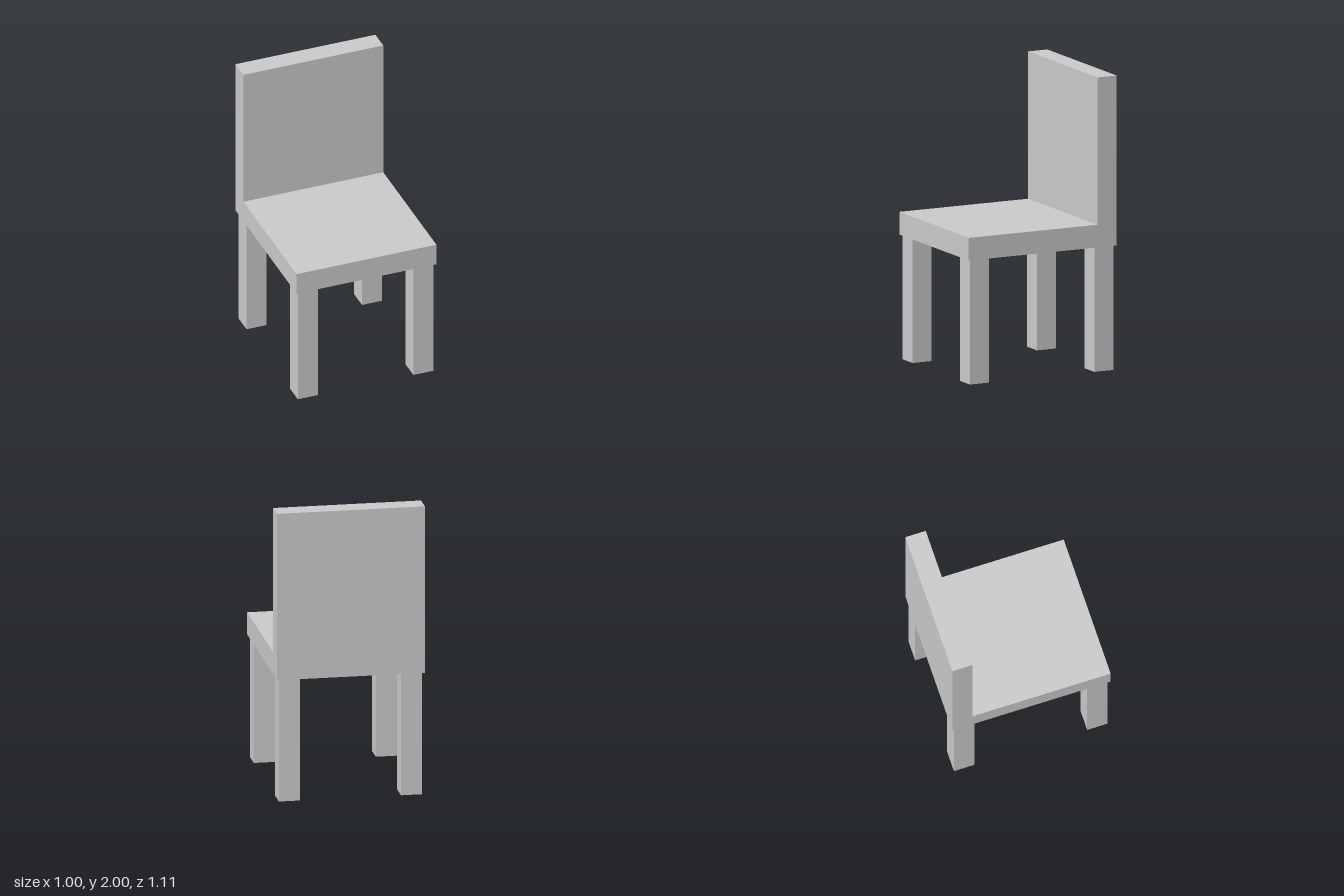
import * as THREE from 'three';

export function createModel() {
  const chair = new THREE.Group();
  chair.name = 'chair';
  const material = new THREE.MeshStandardMaterial({ color: 0xcccccc, flatShading: true });

  const width = 1, halfDepth = 0.555;
  const seatBottom = 0.846, seatTop = 1, backTop = 2, backFront = -0.412;

  // Seat and backrest: one L-shaped side profile (z, y) extruded across the width
  const profile = new THREE.Shape([
    [-halfDepth, seatBottom], [halfDepth, seatBottom], [halfDepth, seatTop],
    [backFront, seatTop], [backFront, backTop], [-halfDepth, backTop],
  ].map(([z, y]) => new THREE.Vector2(-z, y)));
  const body = new THREE.ExtrudeGeometry(profile, { depth: width, bevelEnabled: false });
  body.translate(0, 0, -width / 2);
  body.rotateY(Math.PI / 2);
  const seatAndBack = new THREE.Mesh(body, material);
  seatAndBack.name = 'seatAndBackrest';
  chair.add(seatAndBack);

  // Four square legs, slightly inset from the seat edges
  const legSize = 0.143, legX = 0.413, legZ = 0.467;
  const legGeometry = new THREE.BoxGeometry(legSize, seatBottom, legSize);
  for (const [sz, end] of [[1, 'front'], [-1, 'back']]) {
    for (const [sx, side] of [[1, 'Left'], [-1, 'Right']]) {
      const leg = new THREE.Mesh(legGeometry, material);
      leg.name = `${end}${side}Leg`;
      leg.position.set(sx * legX, seatBottom / 2, sz * legZ);
      chair.add(leg);
    }
  }
  return chair;
}
